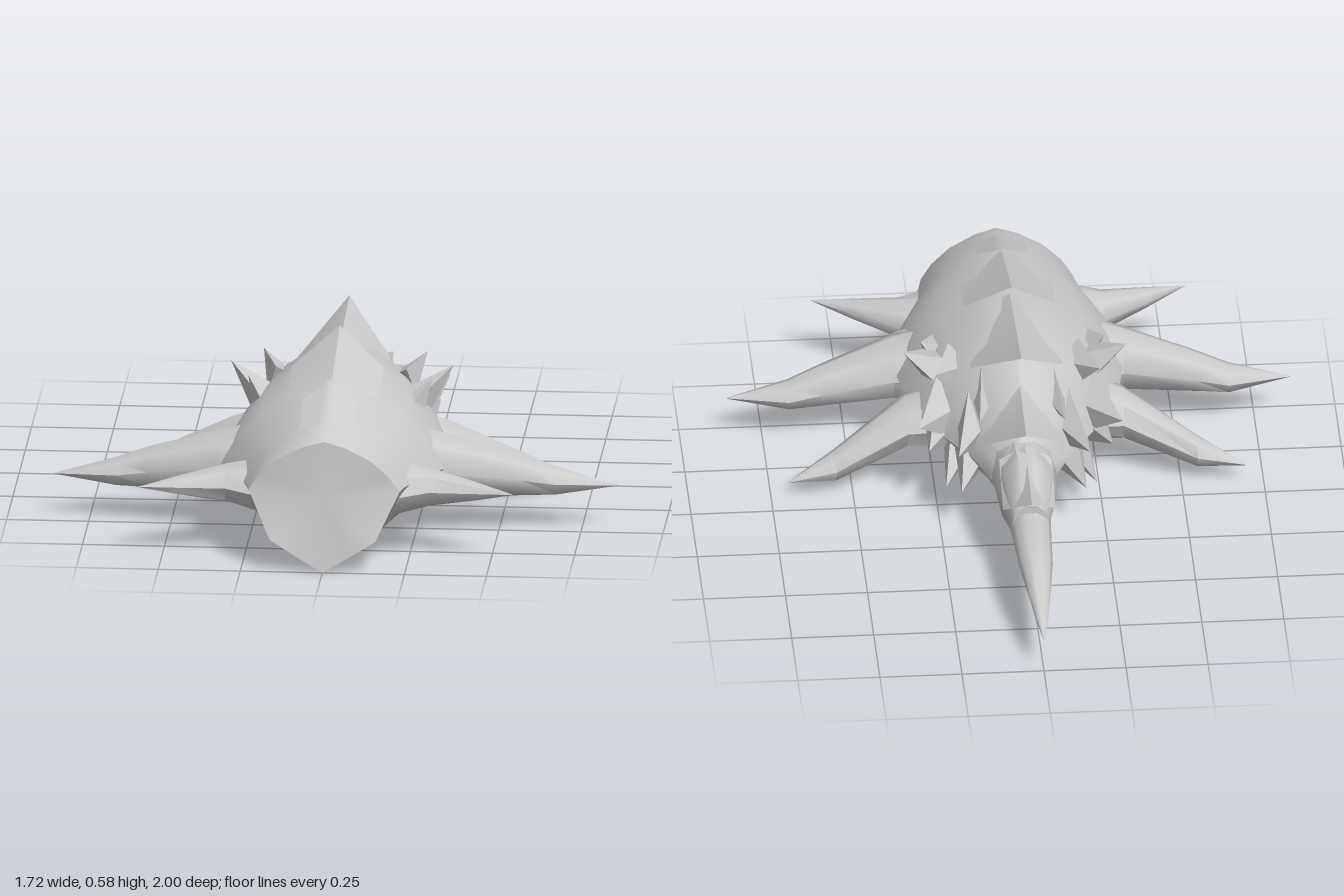
import * as THREE from 'three';
import { toCreasedNormals } from 'three/addons/utils/BufferGeometryUtils.js';

const material = new THREE.MeshStandardMaterial({ color: 0xcccccc, roughness: 0.8 });
const thinMaterial = new THREE.MeshStandardMaterial({ color: 0xcccccc, roughness: 0.8, side: THREE.DoubleSide });

function makeMesh(name, geometry, mat = material) {
  const mesh = new THREE.Mesh(geometry, mat);
  mesh.name = name;
  return mesh;
}

// Skin a list of equal-length closed rings and cap both ends
function loft(rings, crease = 0.8) {
  const pos = [];
  const tri = (...pts) => pts.forEach((p) => pos.push(p.x, p.y, p.z));
  const n = rings[0].length;
  for (let i = 0; i + 1 < rings.length; i++) {
    for (let j = 0; j < n; j++) {
      const k = (j + 1) % n;
      const [a, b, c, d] = [rings[i][j], rings[i][k], rings[i + 1][j], rings[i + 1][k]];
      tri(a, c, b);
      tri(b, c, d);
    }
  }
  const centre = (ring) => ring.reduce((s, p) => s.add(p), new THREE.Vector3()).divideScalar(n);
  const first = rings[0], last = rings[rings.length - 1];
  const c0 = centre(first), c1 = centre(last);
  for (let j = 0; j < n; j++) {
    const k = (j + 1) % n;
    tri(c0, first[j], first[k]);
    tri(c1, last[k], last[j]);
  }
  const geo = new THREE.BufferGeometry();
  geo.setAttribute('position', new THREE.Float32BufferAttribute(pos, 3));
  return toCreasedNormals(geo, crease);
}

// Keeled kite cross-section: z, half width, keel height, side height, ridge height
const HALF = [[0, 0], [0.36, 0.21], [0.7, 0.42], [1, 1], [0.86, 1.3], [0.62, 1.62], [0.28, 1.88], [0, 2]];
function bodyRing([z, w, yb, ys, yt], front) {
  const right = HALF.map(([u, v]) => new THREE.Vector3(
    u * w,
    v <= 1 ? yb + (ys - yb) * v : ys + (yt - ys) * (v - 1),
    front ? (v < 0.5 ? 1 : 0.93 + 0.02 * (v - 1)) : z));
  const left = right.slice(1, -1).reverse().map((p) => new THREE.Vector3(-p.x, p.y, p.z));
  return right.concat(left);
}

// Elliptic ring across the x axis (legs) or the z axis (tail)
function ovalRing([x, y, z, ry, r], axis, sides = 10) {
  return Array.from({ length: sides }, (_, i) => {
    const a = (i / sides) * Math.PI * 2;
    const c = Math.cos(a) * r, s = Math.sin(a) * ry;
    return axis === 'x' ? new THREE.Vector3(x, y + s, z + c) : new THREE.Vector3(x + c, y + s, z);
  });
}

const mirrorRing = (ring) => ring.map((p) => new THREE.Vector3(-p.x, p.y, p.z)).reverse();

// Back plate: a bent sheet that follows the ridge and ends in a raised point
function plate({ z0, y0, tipZ, tipY, w, fall, notch }) {
  const geo = new THREE.PlaneGeometry(2, 1, 8, 4);
  const p = geo.attributes.position;
  for (let i = 0; i < p.count; i++) {
    const u = p.getX(i), t = p.getY(i) + 0.5, a = Math.abs(u);
    const edge = tipZ + notch * a;
    p.setXYZ(i, u * w, y0 + (tipY - y0) * t - fall * a * (0.6 + 0.4 * t), z0 + (edge - z0) * t);
  }
  return toCreasedNormals(geo, 0.7);
}

// Flattened four-sided thorn from a base point to a tip
function thorn(base, tip, radius) {
  const a = new THREE.Vector3(...base), b = new THREE.Vector3(...tip);
  const dir = b.clone().sub(a);
  const geo = new THREE.ConeGeometry(radius, dir.length(), 4, 1);
  geo.scale(0.65, 1, 1);
  geo.applyQuaternion(new THREE.Quaternion().setFromUnitVectors(new THREE.Vector3(0, 1, 0), dir.normalize()));
  geo.translate((a.x + b.x) / 2, (a.y + b.y) / 2, (a.z + b.z) / 2);
  return toCreasedNormals(geo, 0.4);
}

export function createModel() {
  const model = new THREE.Group();
  model.name = 'spikyCreature';

  // Body, from the blunt face to the narrow rear
  const body = [
    [0.94, 0.23, 0, 0.24, 0.40],
    [0.88, 0.24, 0.005, 0.24, 0.43],
    [0.75, 0.28, 0.01, 0.23, 0.455],
    [0.6, 0.34, 0.02, 0.22, 0.48],
    [0.45, 0.35, 0.04, 0.22, 0.5],
    [0.3, 0.33, 0.06, 0.22, 0.51],
    [0.15, 0.3, 0.08, 0.23, 0.5],
    [0.02, 0.23, 0.1, 0.23, 0.47],
    [-0.1, 0.15, 0.1, 0.22, 0.4],
    [-0.2, 0.1, 0.1, 0.21, 0.33],
  ];
  model.add(makeMesh('body', loft(body.map((s, i) => bodyRing(s, i === 0)))));

  // Overlapping plates along the ridge
  [
    { z0: 0.9, y0: 0.42, tipZ: 0.64, tipY: 0.51, w: 0.08, fall: 0.05, notch: 0.06 },
    { z0: 0.72, y0: 0.46, tipZ: 0.3, tipY: 0.58, w: 0.14, fall: 0.11, notch: 0.08 },
    { z0: 0.38, y0: 0.51, tipZ: -0.09, tipY: 0.56, w: 0.14, fall: 0.14, notch: 0.19 },
    { z0: 0.06, y0: 0.45, tipZ: -0.28, tipY: 0.4, w: 0.13, fall: 0.13, notch: 0.17 },
    { z0: -0.25, y0: 0.35, tipZ: -0.52, tipY: 0.3, w: 0.08, fall: 0.08, notch: 0.11 },
  ].forEach((spec) => model.add(makeMesh('backPlate', plate(spec), thinMaterial)));

  // Tail root and tapering tail: x, y, z, vertical radius, horizontal radius
  const tailRoot = [
    [0, 0.22, 0, 0.11, 0.12], [0, 0.215, -0.18, 0.115, 0.1], [0, 0.215, -0.31, 0.135, 0.092],
    [0, 0.21, -0.41, 0.1, 0.072], [0, 0.2, -0.47, 0.07, 0.058],
  ];
  const tail = [
    [0, 0.19, -0.4, 0.06, 0.065], [0, 0.185, -0.52, 0.053, 0.059], [0, 0.18, -0.67, 0.042, 0.052],
    [0, 0.158, -0.83, 0.024, 0.032], [0, 0.135, -0.92, 0.014, 0.019], [0, 0.11, -1, 0.001, 0.001],
  ];
  model.add(makeMesh('tailRoot', loft(tailRoot.map((s) => ovalRing(s, 'z')))));
  model.add(makeMesh('tail', loft(tail.map((s) => ovalRing(s, 'z')))));
  model.add(makeMesh('tailThorn', thorn([0, 0.13, -0.38], [0, 0.105, -0.47], 0.04)));

  // Three pairs of pointed legs
  const legs = {
    frontLeg: [
      [0.18, 0.2, 0.74, 0.09, 0.15], [0.31, 0.21, 0.76, 0.06, 0.07],
      [0.45, 0.215, 0.815, 0.03, 0.034], [0.57, 0.22, 0.865, 0.001, 0.001],
    ],
    middleLeg: [
      [0.18, 0.21, 0.5, 0.13, 0.17], [0.35, 0.2, 0.495, 0.1, 0.1], [0.57, 0.165, 0.458, 0.065, 0.065],
      [0.67, 0.145, 0.443, 0.045, 0.052], [0.86, 0.135, 0.45, 0.001, 0.001],
    ],
    rearLeg: [
      [0.17, 0.21, 0.22, 0.1, 0.14], [0.33, 0.18, 0.21, 0.08, 0.09],
      [0.55, 0.085, 0.12, 0.05, 0.05], [0.7, 0.05, 0.08, 0.001, 0.001],
    ],
  };
  for (const [name, sections] of Object.entries(legs)) {
    const rings = sections.map((s) => ovalRing(s, 'x', 8));
    model.add(makeMesh(name + 'Left', loft(rings)));
    model.add(makeMesh(name + 'Right', loft(rings.map(mirrorRing))));
  }

  // Ruff of thorns around the rear flanks: base, tip, radius
  const ruff = [
    [[0.22, 0.33, 0.34], [0.28, 0.41, 0.28], 0.07],
    [[0.22, 0.32, 0.26], [0.34, 0.43, 0.19], 0.09],
    [[0.18, 0.36, 0.2], [0.25, 0.43, 0.05], 0.08],
    [[0.21, 0.27, 0.12], [0.31, 0.32, -0.08], 0.1],
    [[0.22, 0.22, 0.14], [0.28, 0.24, -0.08], 0.09],
    [[0.13, 0.29, 0.02], [0.2, 0.3, -0.22], 0.09],
    [[0.14, 0.2, 0], [0.19, 0.16, -0.2], 0.09],
    [[0.18, 0.16, 0.08], [0.23, 0.12, -0.1], 0.07],
    [[0.1, 0.36, 0.08], [0.13, 0.37, -0.14], 0.07],
  ];
  for (const side of [1, -1]) {
    const group = new THREE.Group();
    group.name = side > 0 ? 'ruffLeft' : 'ruffRight';
    const flip = ([x, y, z]) => [side * x, y, z];
    ruff.forEach(([base, tip, r]) => group.add(makeMesh('ruffThorn', thorn(flip(base), flip(tip), r))));
    model.add(group);
  }
  return model;
}
